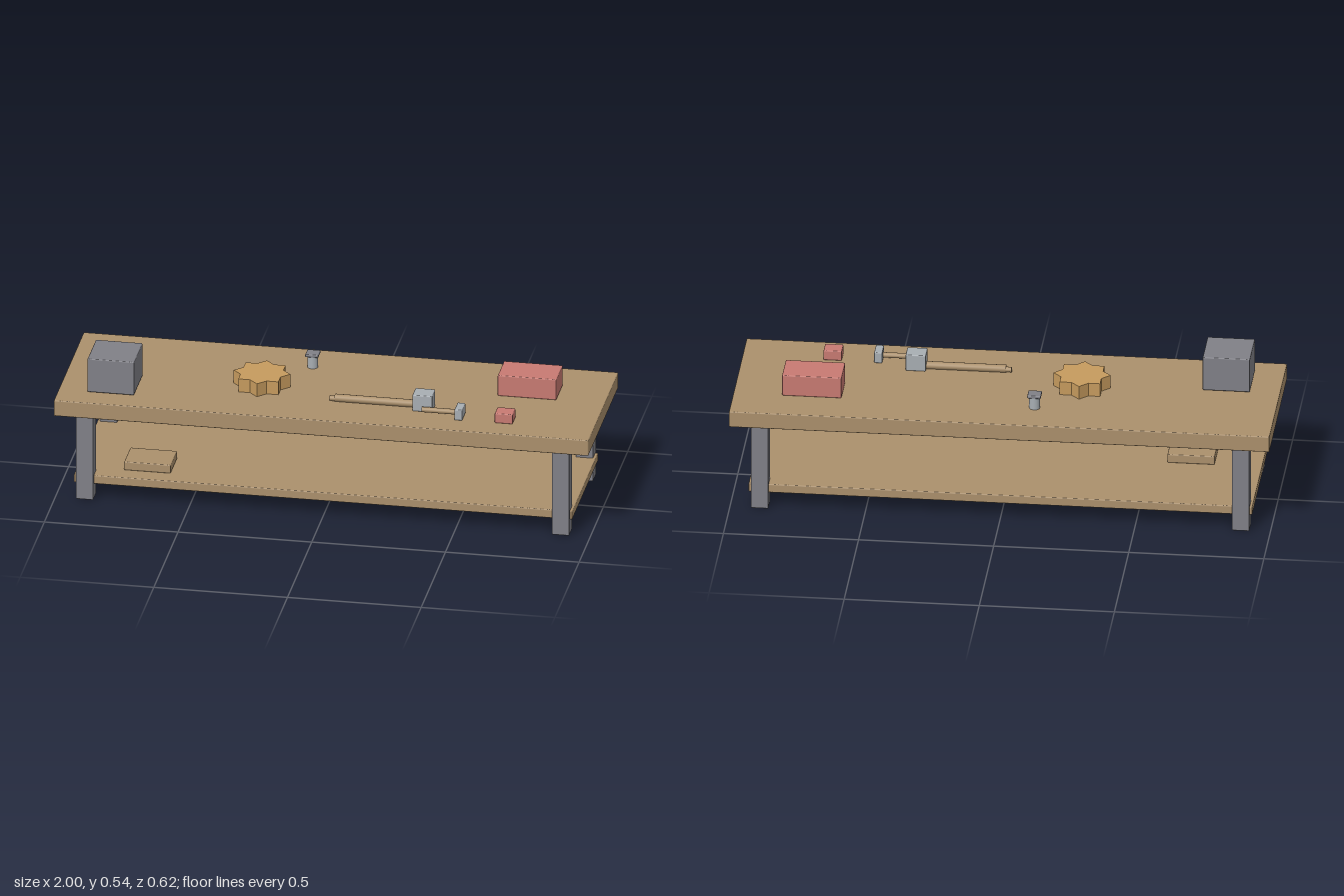
import * as THREE from 'three';
import { RoundedBoxGeometry } from 'three/addons/geometries/RoundedBoxGeometry.js';

const material = (name, color) => {
  const m = new THREE.MeshStandardMaterial({ color });
  m.name = name;
  return m;
};

export function createModel() {
  const wood = material('wood', 0xab906c);
  const steel = material('dark steel', 0x808087);
  const metal = material('light metal', 0xa8aeb3);
  const red = material('red paint', 0xc87a72);
  const brass = material('brass', 0xc69b5e);

  const bench = new THREE.Group();
  bench.name = 'workbench';

  const add = (name, geometry, mat, parent = bench) => {
    const mesh = new THREE.Mesh(geometry, mat);
    mesh.name = name;
    parent.add(mesh);
    return mesh;
  };

  // Softly bevelled box given by its extents on each axis
  const block = (name, mat, [x0, x1], [y0, y1], [z0, z1], parent = bench) => {
    const g = new RoundedBoxGeometry(x1 - x0, y1 - y0, z1 - z0, 1, 0.004);
    const mesh = add(name, g, mat, parent);
    mesh.position.set((x0 + x1) / 2, (y0 + y1) / 2, (z0 + z1) / 2);
    return mesh;
  };

  // Round bar lying along x
  const bar = (name, mat, radius, x0, x1, y, z, parent) => {
    const g = new THREE.CylinderGeometry(radius, radius, x1 - x0, 12);
    const mesh = add(name, g.rotateZ(Math.PI / 2), mat, parent);
    mesh.position.set((x0 + x1) / 2, y, z);
    return mesh;
  };

  // Table frame
  const top = 0.408;
  block('tableTop', wood, [-1, 1], [0.345, top], [-0.31, 0.31]);
  block('shelf', wood, [-0.932, 0.932], [0.063, 0.097], [-0.266, 0.266]);
  for (const sx of [-1, 1]) {
    for (const sz of [-1, 1]) {
      const leg = block('leg', steel, [-0.0325, 0.0325], [0.002, 0.347], [-0.0325, 0.0325]);
      leg.position.x = sx * 0.89;
      leg.position.z = sz * 0.2455;
    }
  }

  // Boxes on the bench and shelf
  block('shelfBoard', wood, [-0.757, -0.582], [0.097, 0.131], [0.068, 0.2]);
  block('steelBlock', steel, [-0.89, -0.715], [0.412, 0.546], [0.046, 0.222]);
  block('toolBox', red, [0.6, 0.82], [top, 0.491], [-0.155, -0.022]);
  block('smallBox', red, [0.632, 0.7], [top, 0.447], [0.157, 0.218]);

  // Eight-pointed cog
  const star = new THREE.Shape();
  for (let i = 0; i < 16; i++) {
    const r = i % 2 ? 0.081 : 0.106;
    const a = (i * Math.PI) / 8;
    star[i ? 'lineTo' : 'moveTo'](r * Math.cos(a), r * Math.sin(a));
  }
  star.closePath();
  const cog = new THREE.ExtrudeGeometry(star, { depth: 0.052, bevelEnabled: false });
  add('cog', cog.rotateX(-Math.PI / 2), brass).position.set(-0.27, top, 0.037);

  // Bolt standing upright with a square head
  const bolt = new THREE.Group();
  bolt.name = 'bolt';
  bolt.position.set(-0.115, 0, -0.156);
  bench.add(bolt);
  add('boltShaft', new THREE.CylinderGeometry(0.02, 0.02, 0.048, 16), metal, bolt).position.y = 0.432;
  block('boltHead', steel, [-0.025, 0.025], [0.455, 0.467], [-0.025, 0.025], bolt);

  // Large hammer
  const hammer = new THREE.Group();
  hammer.name = 'largeHammer';
  bench.add(hammer);
  bar('hammerHandle', wood, 0.0145, 0.02, 0.33, 0.422, 0.129, hammer);
  bar('hammerHandleEnd', wood, 0.01, 0, 0.022, 0.419, 0.129, hammer);
  block('hammerHead', metal, [0.315, 0.39], [top, 0.473], [0.1, 0.168], hammer);

  // Small hammer
  const mallet = new THREE.Group();
  mallet.name = 'smallHammer';
  bench.add(mallet);
  bar('malletHandle', wood, 0.01, 0.355, 0.49, 0.427, 0.186, mallet);
  block('malletHead', metal, [0.482, 0.512], [top, 0.451], [0.152, 0.22], mallet);

  return bench;
}
